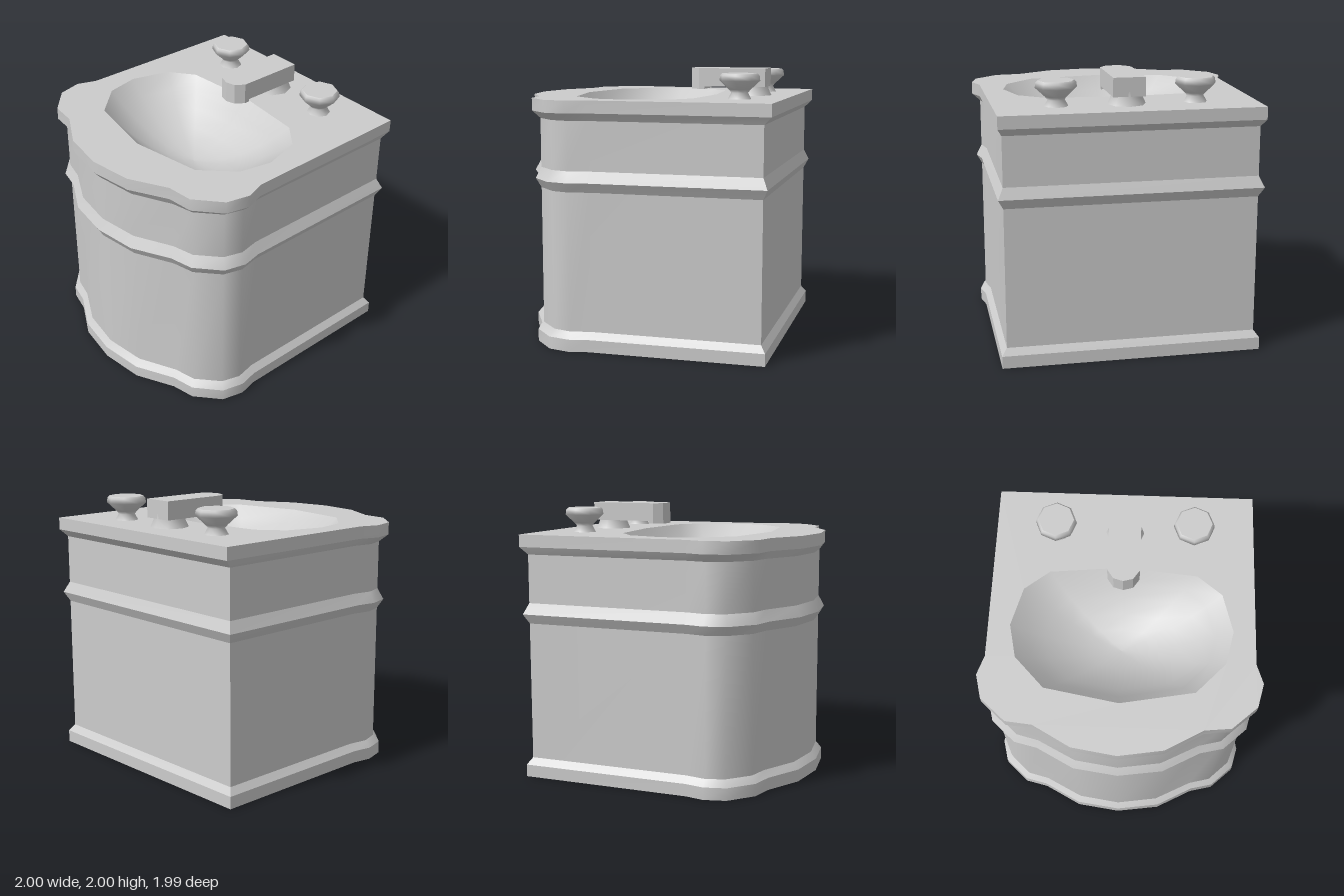
import * as THREE from 'three';

const material = new THREE.MeshStandardMaterial({ color: 0xcccccc, side: THREE.DoubleSide });

// Half outlines as [x, z], from the back corner round to the front centre
const SLAB = [[0.93, -1], [0.95, 0.3], [1, 0.44], [0.96, 0.61], [0.78, 0.77], [0.59, 0.79], [0.32, 0.94], [0, 0.99]];
const RING = [[0.937, -0.98], [0.95, 0.3], [0.98, 0.44], [0.94, 0.6], [0.77, 0.755], [0.6, 0.795], [0.325, 0.94], [0, 0.985]];
const BODY = [[0.9, -0.945], [0.91, 0.29], [0.94, 0.44], [0.9, 0.575], [0.745, 0.72], [0.585, 0.76], [0.31, 0.9], [0, 0.945]];
const RIM = [[0, -0.41], [0.53, -0.36], [0.71, -0.22], [0.79, 0.06], [0.74, 0.3], [0.53, 0.52], [0, 0.615]];

function mirrorLoop(half) {
  const other = half.filter(([x]) => x > 0).reverse().map(([x, z]) => [-x, z]);
  return half.concat(other);
}

// Smooth skin through rows of [x, y, z] points
function loft(rows, closed) {
  const n = rows[0].length;
  const index = [];
  for (let r = 0; r < rows.length - 1; r++) {
    for (let i = 0; i < (closed ? n : n - 1); i++) {
      const a = r * n + i, b = r * n + (i + 1) % n;
      index.push(b, a, a + n, b, a + n, b + n);
    }
  }
  const g = new THREE.BufferGeometry();
  g.setAttribute('position', new THREE.Float32BufferAttribute(rows.flat(2), 3));
  g.setIndex(index);
  g.computeVertexNormals();
  return g;
}

export function createModel() {
  const model = new THREE.Group();

  function add(name, geometry, parent = model) {
    const mesh = new THREE.Mesh(geometry, material);
    mesh.name = name;
    parent.add(mesh);
    return mesh;
  }

  // One wall band: smooth sides and front, separate flat back
  function band(name, lower, y0, upper, y1) {
    const group = new THREE.Group();
    group.name = name;
    const rows = [[lower, y0], [upper, y1]].map(([o, y]) => mirrorLoop(o).map(([x, z]) => [x, y, z]));
    add(name + 'Sides', loft(rows, false), group);
    add(name + 'Back', loft(rows.map((r) => [r[r.length - 1], r[0]]), false), group);
    model.add(group);
  }

  // Cabinet from plinth to counter edge
  band('plinth', RING, 0, RING, 0.09);
  band('plinthBevel', RING, 0.09, BODY, 0.14);
  band('lowerCabinet', BODY, 0.14, BODY, 1.15);
  band('mouldingUnderside', BODY, 1.15, RING, 1.22);
  band('mouldingTop', RING, 1.22, BODY, 1.3);
  band('upperCabinet', BODY, 1.3, BODY, 1.655);
  band('counterBevel', BODY, 1.655, SLAB, 1.71);
  band('counterEdge', SLAB, 1.71, SLAB, 1.8);

  // Underside
  const floor = new THREE.Shape(mirrorLoop(RING).map(([x, z]) => new THREE.Vector2(x, z)));
  add('underside', new THREE.ShapeGeometry(floor).rotateX(Math.PI / 2));

  // Countertop with basin opening
  const toPlan = ([x, z]) => new THREE.Vector2(x, -z);
  const top = new THREE.Shape(mirrorLoop(SLAB).map(toPlan));
  top.holes.push(new THREE.Path(mirrorLoop(RIM).map(toPlan)));
  add('countertop', new THREE.ShapeGeometry(top).rotateX(-Math.PI / 2)).position.y = 1.8;

  // Basin bowl
  const bowl = [1, 0.85, 0.7, 0.5, 0.3, 0.12, 0].map((s) =>
    mirrorLoop(RIM).map(([x, z]) => [x * s, 1.8 - 0.35 * (1 - s * s), 0.1 + (z - 0.1) * s]));
  add('basin', loft(bowl, true));

  // Octagonal tap handles
  const knob = [[0.085, 1.8], [0.06, 1.845], [0.08, 1.868], [0.147, 1.93], [0.142, 1.965], [0.128, 1.98]];
  for (const [side, x] of [['left', 0.495], ['right', -0.495]]) {
    const handle = new THREE.Group();
    handle.name = side + 'TapHandle';
    handle.position.set(x, 0, -0.69);
    add('knob', new THREE.LatheGeometry(knob.map((p) => new THREE.Vector2(...p)), 8), handle);
    add('knobTop', new THREE.CircleGeometry(0.128, 8).rotateX(-Math.PI / 2), handle).position.y = 1.98;
    model.add(handle);
  }

  // Faucet: flared column, spout and outlet lip
  const faucet = new THREE.Group();
  faucet.name = 'faucet';
  const column = [[0.138, 1.8], [0.115, 1.85], [0.112, 1.9]].map((p) => new THREE.Vector2(...p));
  add('column', new THREE.LatheGeometry(column, 8), faucet).position.z = -0.69;

  const slice = (back, y, height) => {
    const half = [[0.115, back], [0.115, -0.3], [0.07, -0.235], [0, -0.215]];
    const shape = new THREE.Shape(mirrorLoop(half).map(toPlan));
    return new THREE.ExtrudeGeometry(shape, { depth: height, bevelEnabled: false })
      .rotateX(-Math.PI / 2).translate(0, y, 0);
  };
  add('spout', slice(-0.8, 1.865, 0.135), faucet);
  add('outletLip', slice(-0.34, 1.845, 0.02), faucet);
  model.add(faucet);

  return model;
}
